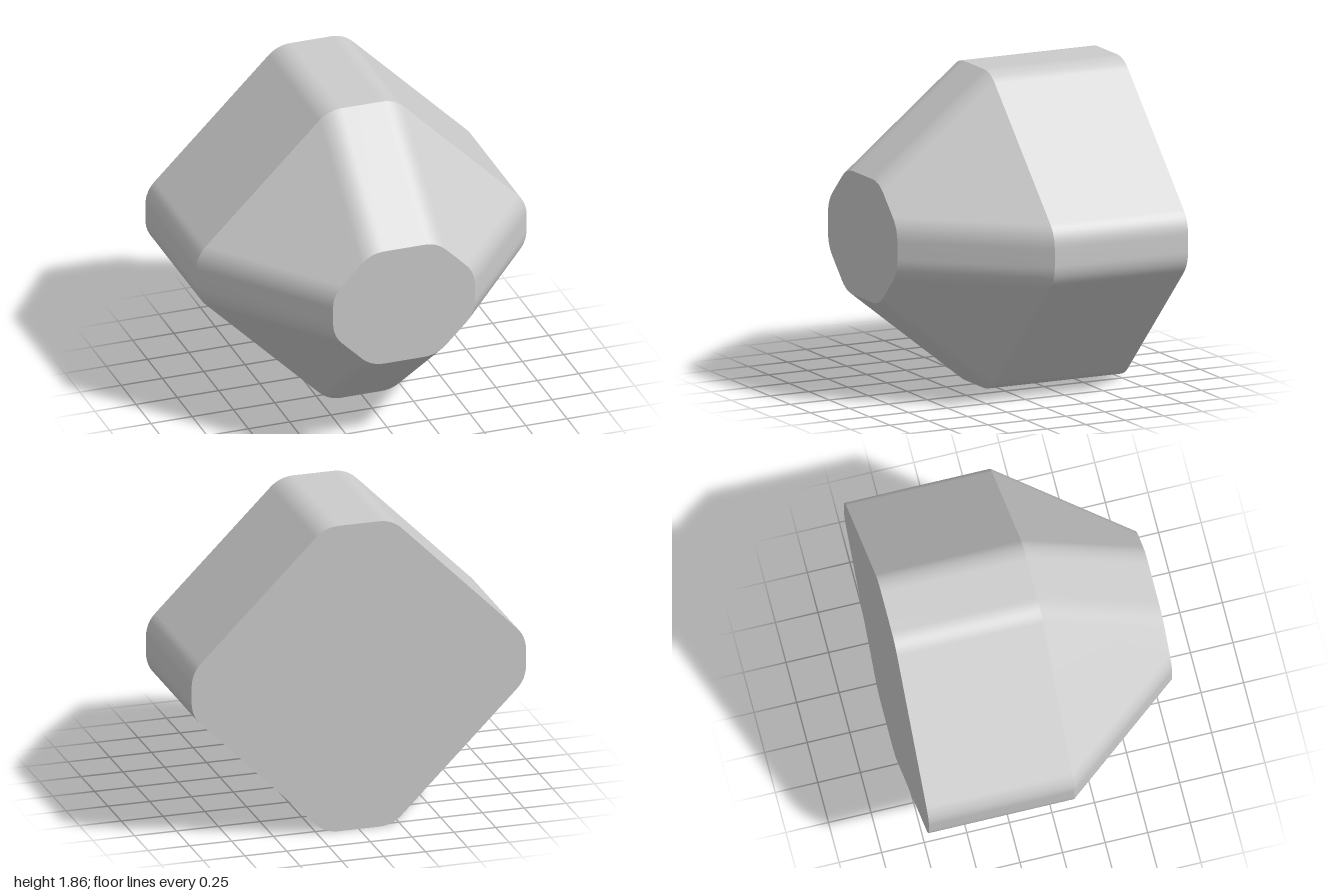
import * as THREE from 'three';

const CY = 0.93; // height of the axis
const FILLET = 0.08; // length trimmed from each edge at a corner
const STEPS = 6;

// Diamond with blunted tips and filleted corners, counter-clockwise
function outline(w, h) {
  const a = 0.2, b = 0.13; // half-widths of the blunt tips
  const corners = [
    [w, -b], [w, b], [a, h], [-a, h], [-w, b], [-w, -b], [-a, -h], [a, -h],
  ].map(([x, y]) => new THREE.Vector2(x, y));
  const points = [];
  corners.forEach((c, i) => {
    const toward = (o) => c.clone().add(o.clone().sub(c).setLength(FILLET));
    const start = toward(corners[(i + 7) % 8]);
    const end = toward(corners[(i + 1) % 8]);
    points.push(...new THREE.QuadraticBezierCurve(start, c, end).getPoints(STEPS));
  });
  return points;
}

// Smooth wall between two outlines, from back to front
function wall(back, zBack, front, zFront) {
  const n = back.length, pos = [], index = [];
  back.forEach((p) => pos.push(p.x, p.y, zBack));
  front.forEach((p) => pos.push(p.x, p.y, zFront));
  for (let i = 0; i < n; i++) {
    const j = (i + 1) % n;
    index.push(i, j, n + j, i, n + j, n + i);
  }
  const g = new THREE.BufferGeometry();
  g.setAttribute('position', new THREE.Float32BufferAttribute(pos, 3));
  g.setIndex(index);
  g.computeVertexNormals();
  return g;
}

export function createModel() {
  const group = new THREE.Group();
  const material = new THREE.MeshStandardMaterial({ color: 0xcccccc });
  const add = (name, geometry) => {
    const mesh = new THREE.Mesh(geometry, material);
    mesh.name = name;
    mesh.position.y = CY;
    group.add(mesh);
    return mesh;
  };

  const large = outline(1, 0.93);
  const small = outline(0.43, 0.36);
  const zBack = -0.785, zMid = 0.07, zFront = 0.785;

  // Straight rear body and tapered nose
  add('body', wall(large, zBack, large, zMid));
  add('taperedNose', wall(large, zMid, small, zFront));

  // Flat end faces
  add('frontFace', new THREE.ShapeGeometry(new THREE.Shape(small))).position.z = zFront;
  const rear = add('backFace', new THREE.ShapeGeometry(new THREE.Shape(large)));
  rear.position.z = zBack;
  rear.rotation.y = Math.PI;

  return group;
}
